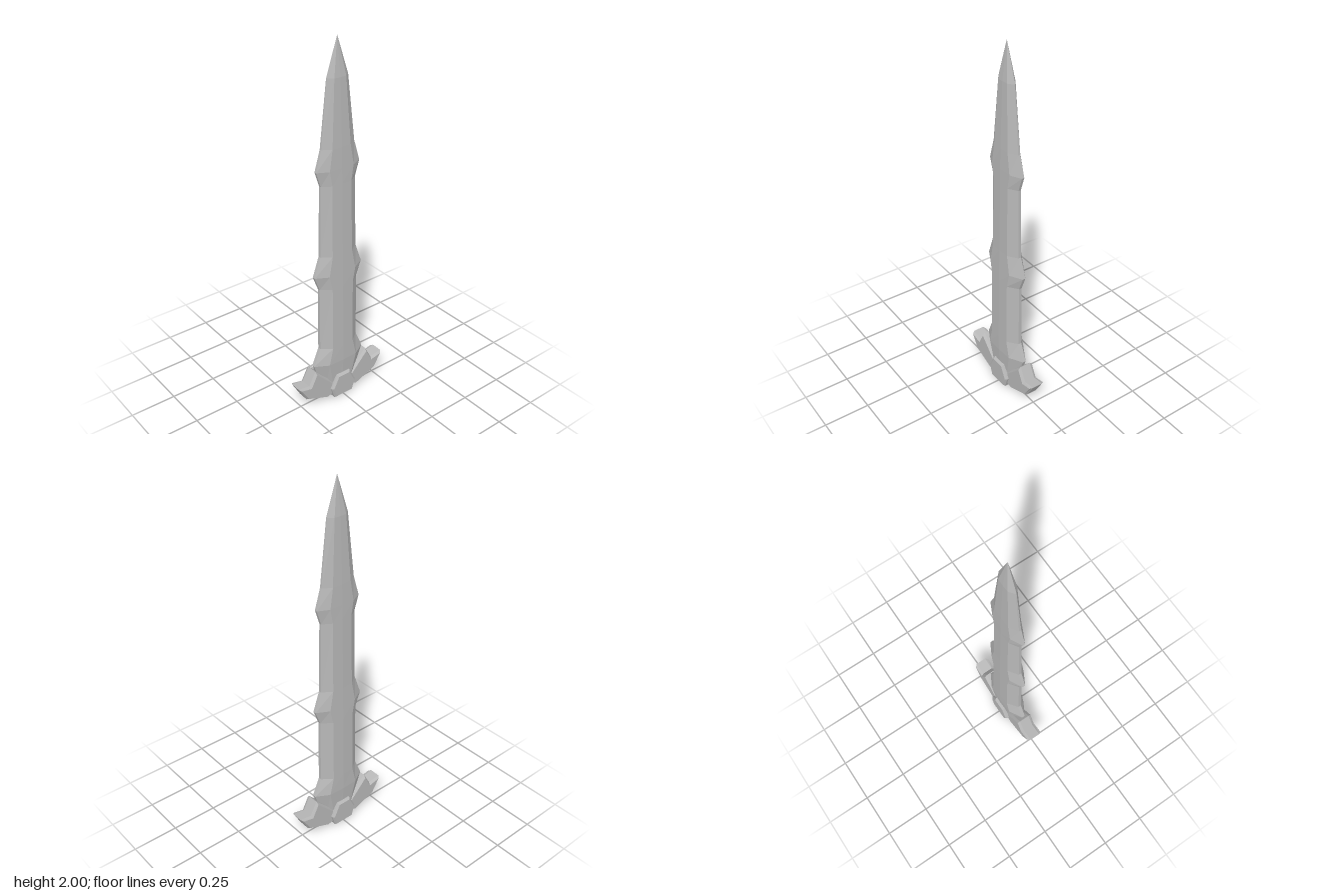
import * as THREE from 'three';

const steel = new THREE.MeshStandardMaterial({ color: 0xb8b8b8, flatShading: true });
steel.name = 'steel grey';

// Plate drawn in (z, y), given its thickness along x, with chamfered rims
function plate(name, points, halfX, bevel, inset) {
  const shape = new THREE.Shape(points.map(([z, y]) => new THREE.Vector2(z, y)));
  const depth = 2 * (halfX - bevel);
  const geometry = new THREE.ExtrudeGeometry(shape, {
    depth, bevelEnabled: true, bevelThickness: bevel,
    bevelSize: inset, bevelOffset: -inset, bevelSegments: 1,
  });
  geometry.translate(0, 0, -depth / 2);
  geometry.rotateY(-Math.PI / 2);
  const mesh = new THREE.Mesh(geometry, steel);
  mesh.name = name;
  return mesh;
}

// Blade lofted through ten-sided rings: [y, half depth, half thickness, half edge]
function blade() {
  const sections = [
    [0.03, 0.09, 0.042, 0.008],
    [0.23, 0.163, 0.054, 0.009],
    [0.33, 0.121, 0.054, 0.009],
    [0.7, 0.12, 0.05, 0.008],
    [0.78, 0.151, 0.048, 0.008],
    [0.89, 0.113, 0.046, 0.008],
    [1.28, 0.106, 0.04, 0.007],
    [1.36, 0.132, 0.039, 0.007],
    [1.47, 0.1, 0.037, 0.006],
    [1.81, 0.063, 0.025, 0.002],
    [2.0, 0.0005, 0.0005, 0.0002],
  ];
  const positions = [], index = [], n = 10;
  for (const [y, w, t, e] of sections) {
    const half = [[e, w], [t * 0.94, w * 0.55], [t, 0], [t * 0.94, -w * 0.55], [e, -w]];
    const ring = [...half, ...half.map(([x, z]) => [-x, -z])];
    for (const [x, z] of ring) positions.push(x, y, z);
  }
  for (let s = 0; s < sections.length - 1; s++) {
    for (let i = 0; i < n; i++) {
      const a = s * n + i, b = s * n + (i + 1) % n;
      index.push(a, b, b + n, a, b + n, a + n);
    }
  }
  // End caps
  const top = (sections.length - 1) * n;
  for (let i = 1; i < n - 1; i++) {
    index.push(0, i + 1, i);
    index.push(top, top + i, top + i + 1);
  }
  const geometry = new THREE.BufferGeometry();
  geometry.setAttribute('position', new THREE.Float32BufferAttribute(positions, 3));
  geometry.setIndex(index);
  geometry.computeVertexNormals();
  const mesh = new THREE.Mesh(geometry, steel);
  mesh.name = 'blade';
  return mesh;
}

export function createModel() {
  const model = new THREE.Group();
  model.name = 'dagger';
  model.add(blade());

  // Guard wings, front and back
  const wing = [
    [0.03, 0.03], [0.1, 0.008], [0.233, 0.06], [0.284, 0.15],
    [0.213, 0.138], [0.172, 0.215], [0.05, 0.09],
  ];
  for (const [side, name] of [[1, 'frontGuardWing'], [-1, 'backGuardWing']]) {
    const points = wing.map(([z, y]) => [z * side, y]);
    model.add(plate(name, points, 0.045, 0.015, 0.01));
  }

  // Six-sided boss through the middle of the guard
  const boss = [
    [-0.06, 0], [0.06, 0], [0.081, 0.065],
    [0.042, 0.144], [-0.042, 0.144], [-0.081, 0.065],
  ];
  model.add(plate('guardBoss', boss, 0.064, 0.01, 0.01));

  return model;
}
